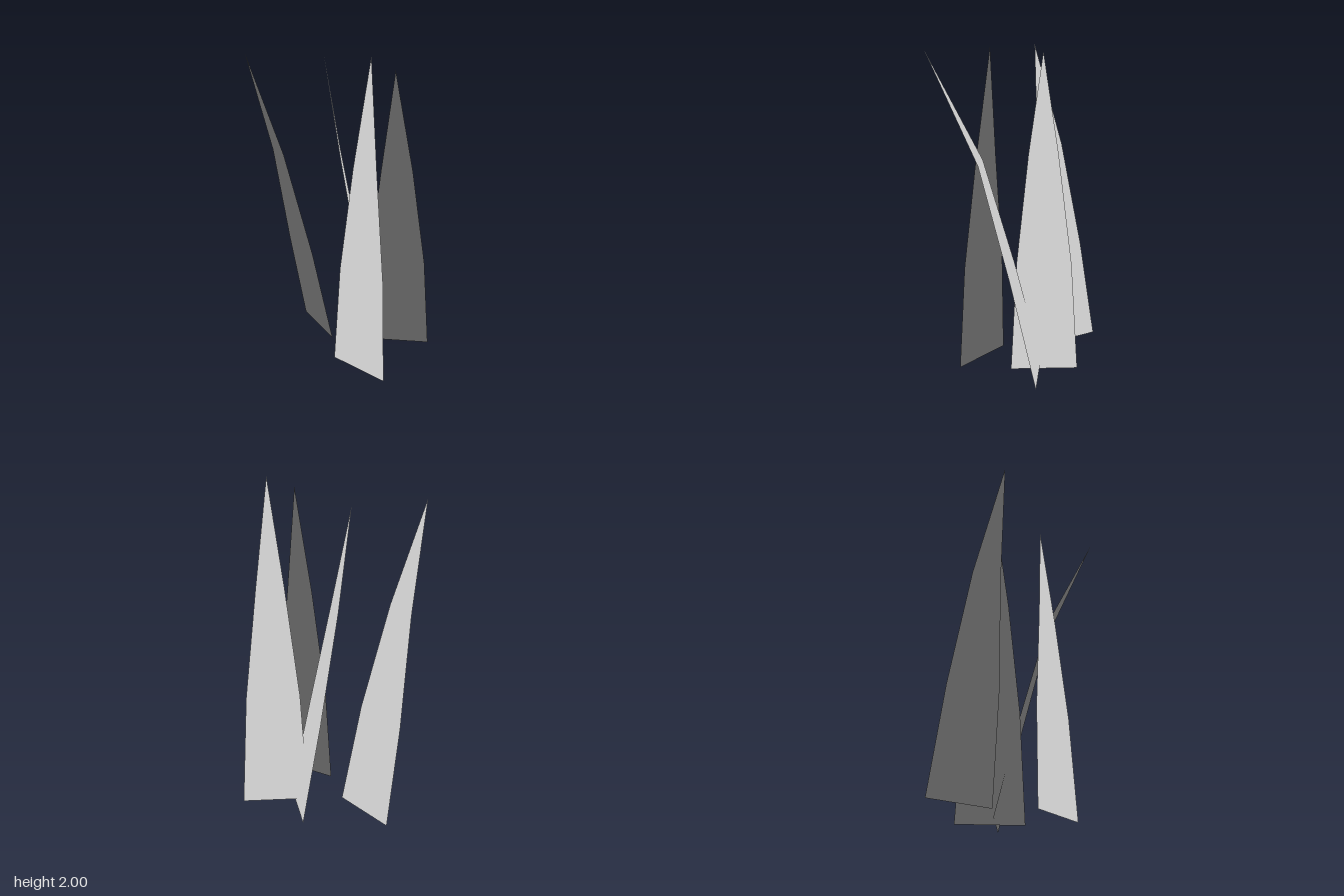
import * as THREE from 'three';

const material = new THREE.MeshStandardMaterial({ color: 0xcccccc, side: THREE.DoubleSide });

// One flat blade: pairs of edge points from the base upward, closed by a tip.
// All normals point straight up, so the whole tuft is lit evenly like the ground.
function makeBlade(name, rows, tip) {
  const points = [...rows.flat(), tip];
  const index = [];
  for (let i = 0; i < rows.length - 1; i++) {
    const a = i * 2;
    index.push(a, a + 1, a + 3, a, a + 3, a + 2);
  }
  const last = (rows.length - 1) * 2;
  index.push(last, last + 1, last + 2);

  const normals = points.flatMap(() => [0, 1, 0]);
  const geometry = new THREE.BufferGeometry();
  geometry.setAttribute('position', new THREE.Float32BufferAttribute(points.flat(), 3));
  geometry.setAttribute('normal', new THREE.Float32BufferAttribute(normals, 3));
  geometry.setIndex(index);
  const mesh = new THREE.Mesh(geometry, material);
  mesh.name = name;
  return mesh;
}

export function createModel() {
  const group = new THREE.Group();
  group.name = 'grassTuft';

  // Rear blade, bending to the right and back
  group.add(makeBlade('backBlade', [
    [[-0.02, 0.02, -0.175], [0.073, 0.02, -0.582]],
    [[-0.13, 0.66, -0.237], [-0.055, 0.64, -0.573]],
    [[-0.25, 1.33, -0.35], [-0.20, 1.31, -0.53]],
  ], [-0.412, 1.96, -0.48]));

  // Middle blade, bending backward
  group.add(makeBlade('middleBlade', [
    [[0.34, 0, -0.135], [0.065, 0, 0.18]],
    [[0.23, 0.65, -0.187], [0.0, 0.66, 0.07]],
    [[0.085, 1.34, -0.207], [-0.035, 1.33, -0.065]],
  ], [-0.045, 1.95, -0.2]));

  // Front blade, crossing the middle one near the ground
  group.add(makeBlade('frontBlade', [
    [[0.412, 0.03, 0.298], [0.135, 0.03, -0.015]],
    [[0.27, 0.69, 0.375], [0.038, 0.69, 0.122]],
    [[0.08, 1.35, 0.438], [-0.04, 1.35, 0.30]],
  ], [-0.212, 2, 0.578]));

  // Side blade, nearly upright
  group.add(makeBlade('sideBlade', [
    [[-0.175, 0.03, 0.028], [-0.125, 0.03, 0.437]],
    [[-0.148, 0.67, 0.058], [-0.107, 0.68, 0.40]],
    [[-0.11, 1.34, 0.137], [-0.087, 1.33, 0.316]],
  ], [-0.053, 2, 0.223]));

  return group;
}
